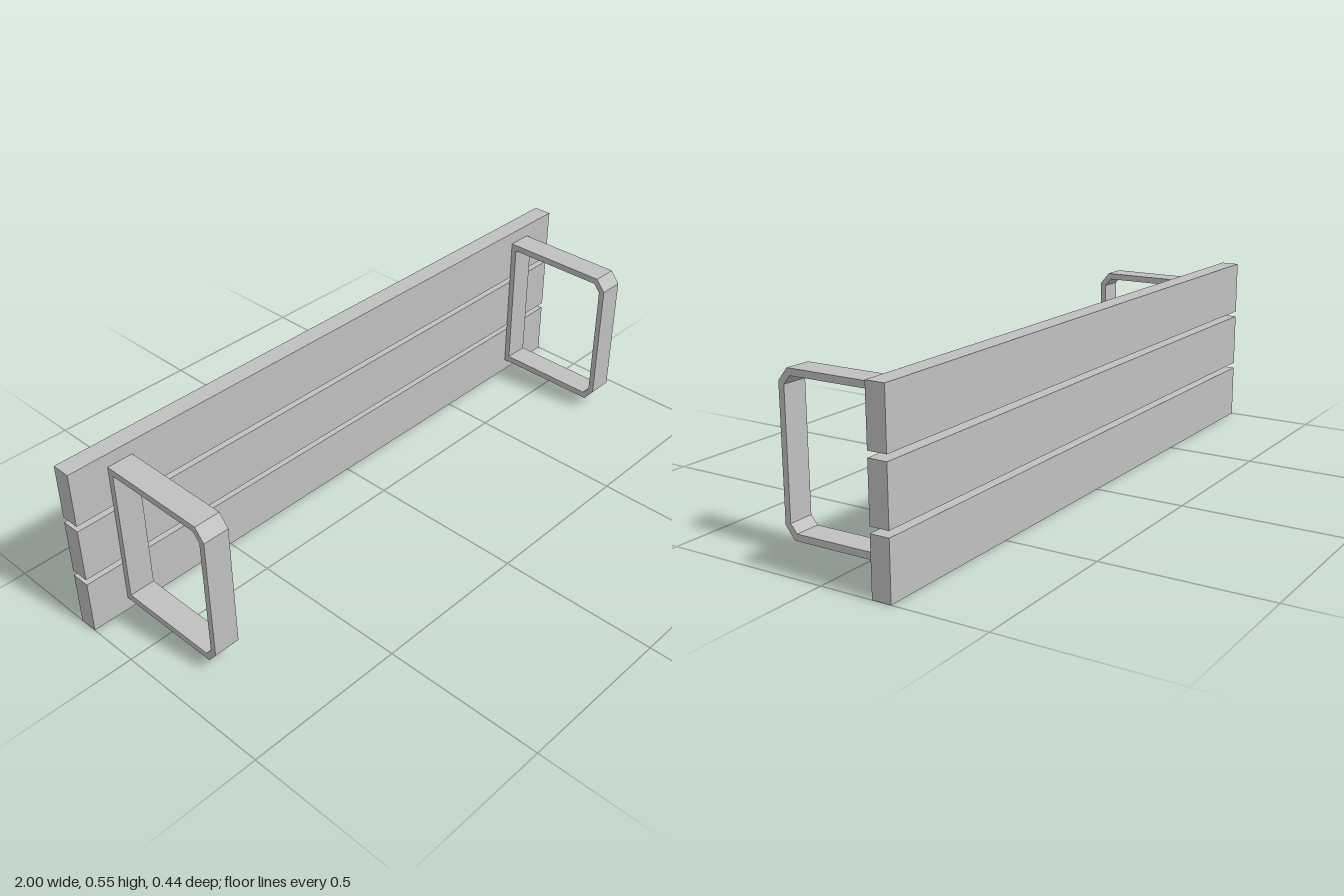
import * as THREE from 'three';

export function createModel() {
  const model = new THREE.Group();
  model.name = 'bench';
  const grey = new THREE.MeshStandardMaterial({ color: 0xc0c0c0 });
  grey.name = 'light grey';

  // Three long planks with narrow gaps
  const plankHeight = 0.17, plankPitch = 0.188, plankDepth = 0.058;
  const plankGeometry = new THREE.BoxGeometry(2, plankHeight, plankDepth);
  ['lower', 'middle', 'upper'].forEach((place, i) => {
    const plank = new THREE.Mesh(plankGeometry, grey);
    plank.name = `${place}Plank`;
    plank.position.set(0, plankHeight / 2 + i * plankPitch, -0.19);
    model.add(plank);
  });

  // Flat-bar loop with chamfered front corners, drawn as (z, y)
  const points = (list) => list.map(([z, y]) => new THREE.Vector2(z, y));
  const profile = new THREE.Shape(points([
    [-0.161, 0.041], [0.189, 0.041], [0.219, 0.079],
    [0.219, 0.468], [0.189, 0.505], [-0.161, 0.505],
  ]));
  profile.holes.push(new THREE.Path(points([
    [-0.143, 0.062], [-0.143, 0.485], [0.18, 0.485],
    [0.201, 0.46], [0.201, 0.086], [0.18, 0.061],
  ])));
  const width = 0.08;
  const loopGeometry = new THREE.ExtrudeGeometry(profile, { depth: width, bevelEnabled: false });
  loopGeometry.translate(0, 0, -width / 2);
  loopGeometry.rotateY(-Math.PI / 2);

  // One loop near each end
  for (const side of [-1, 1]) {
    const loop = new THREE.Mesh(loopGeometry, grey);
    loop.name = side > 0 ? 'leftLegLoop' : 'rightLegLoop';
    loop.position.x = side * 0.84;
    model.add(loop);
  }
  return model;
}
